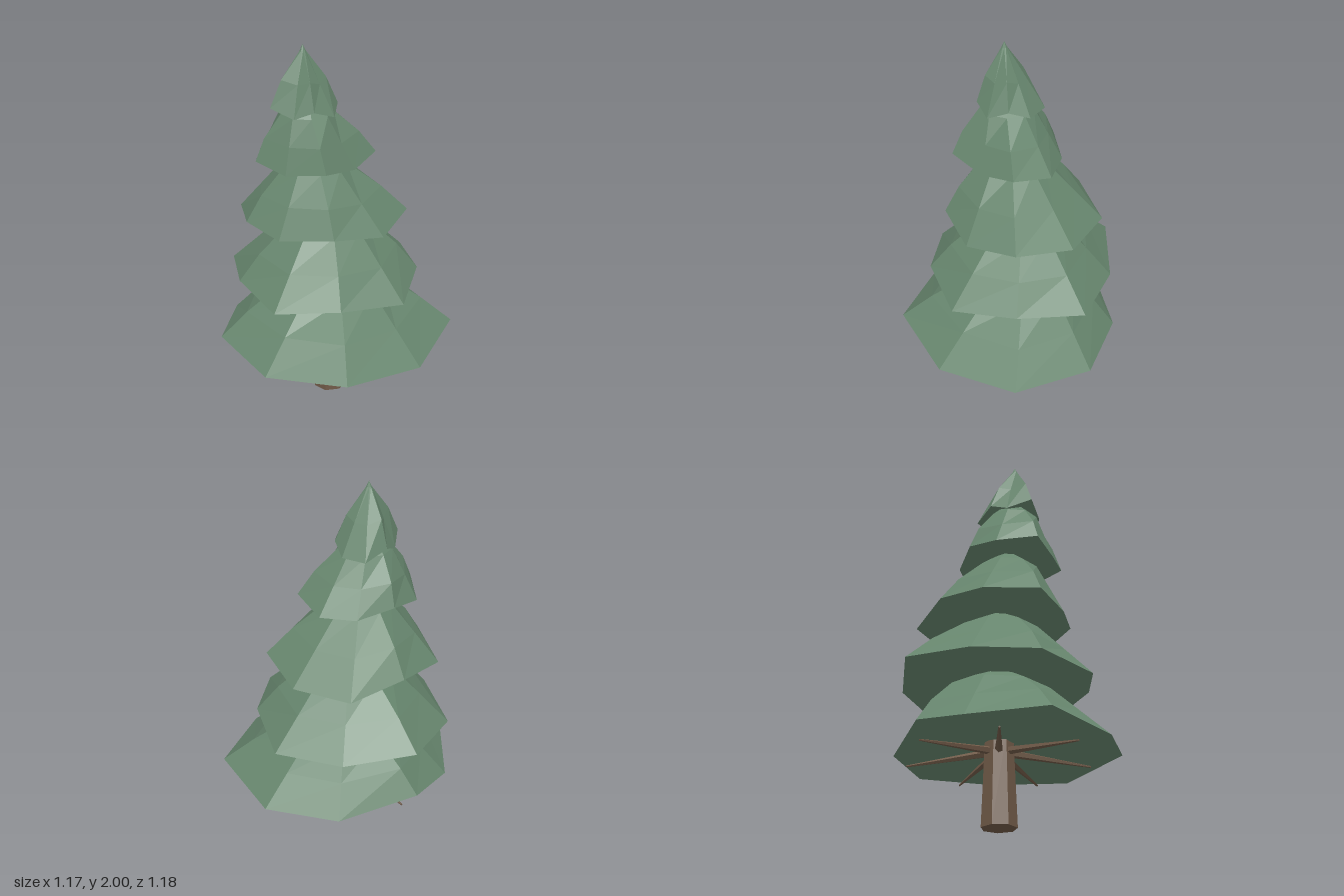
import * as THREE from 'three';

const green = new THREE.MeshStandardMaterial({ color: 0x66856d, flatShading: true });
green.name = 'needle green';
const brown = new THREE.MeshStandardMaterial({ color: 0x6f5947, flatShading: true });
brown.name = 'bark brown';

// Each tier: low rim height, height of the raised rim corners, rim corners as x, z pairs,
// then the narrow upper ring (centre x, y, z and radius) and the height of the closing tip.
const tiers = [
  { low: 0.38, high: 0.42, ring: [-0.01, 0.69, -0.03, 0.285], tip: 0.85,
    rim: [0.585, -0.05, 0.51, 0.385, 0.108, 0.59, -0.333, 0.545, -0.58, 0.183, -0.59, -0.225, -0.315, -0.51, -0.03, -0.56, 0.373, -0.387] },
  { low: 0.715, high: 0.75, ring: [-0.03, 1.03, -0.04, 0.22], tip: 1.16,
    rim: [0.51, -0.06, 0.355, 0.263, 0.08, 0.477, -0.257, 0.392, -0.5, 0.16, -0.487, -0.18, -0.332, -0.49, 0.03, -0.595, 0.335, -0.375] },
  { low: 1.06, high: 1.1, ring: [-0.1, 1.37, -0.04, 0.165], tip: 1.5,
    rim: [0.383, -0.067, 0.3, 0.228, 0.043, 0.35, -0.228, 0.298, -0.4, 0.07, -0.452, -0.143, -0.32, -0.408, -0.03, -0.436, 0.263, -0.355] },
  { low: 1.395, high: 1.43, ring: [-0.145, 1.66, -0.04, 0.135], tip: 1.8,
    rim: [0.197, -0.065, 0.156, 0.137, -0.027, 0.2, -0.23, 0.238, -0.345, 0.06, -0.405, -0.112, -0.275, -0.28, -0.09, -0.298, 0.087, -0.216] },
  { low: 1.66, high: 1.7, ring: [-0.162, 1.97, -0.04, 0.014], tip: 2,
    rim: [0.033, -0.055, -0.014, 0.043, -0.09, 0.118, -0.2, 0.102, -0.27, 0.033, -0.332, -0.08, -0.228, -0.162, -0.137, -0.194, -0.008, -0.175] },
];

const SIDES = 9;

function tierGeometry({ low, high, ring, tip, rim }) {
  const [cx, cy, cz, r] = ring;
  const lower = [], middle = [], upper = [];
  for (let i = 0; i < SIDES; i++) {
    const a = THREE.MathUtils.degToRad(i * 40 - 5);
    // every other rim corner is lifted
    const p = new THREE.Vector3(rim[2 * i], i % 2 ? high : low, rim[2 * i + 1]);
    const q = new THREE.Vector3(cx + r * Math.cos(a), cy, cz + r * Math.sin(a));
    const m = p.clone().lerp(q, 0.5);
    // lifted corners bulge slightly halfway up
    if (i % 2) m.add(new THREE.Vector3(m.x - cx, 0, m.z - cz).setLength(0.02));
    lower.push(p);
    middle.push(m);
    upper.push(q);
  }
  const top = new THREE.Vector3(cx, tip, cz);
  const under = new THREE.Vector3(cx, low + 0.055, cz);
  const tris = [];
  for (let i = 0; i < SIDES; i++) {
    const j = (i + 1) % SIDES;
    for (const [a, b] of [[lower, middle], [middle, upper]]) {
      tris.push(a[i], b[i], a[j], a[j], b[i], b[j]);
    }
    tris.push(upper[i], top, upper[j]);
    tris.push(lower[i], lower[j], under);
  }
  const geometry = new THREE.BufferGeometry().setFromPoints(tris);
  geometry.computeVertexNormals();
  return geometry;
}

export function createModel() {
  const tree = new THREE.Group();
  tree.name = 'tree';

  // Foliage tiers, leaning a little to one side as they rise
  tiers.forEach((tier, i) => {
    const mesh = new THREE.Mesh(tierGeometry(tier), green);
    mesh.name = `foliageTier${i + 1}`;
    tree.add(mesh);
  });

  // Tapered trunk
  const trunk = new THREE.Mesh(new THREE.CylinderGeometry(0.073, 0.092, 0.46, 7), brown);
  trunk.name = 'trunk';
  trunk.position.set(-0.017, 0.23, -0.025);
  tree.add(trunk);

  // Thin drooping branches under the lowest tier
  const up = new THREE.Vector3(0, 1, 0);
  for (let i = 0; i < 7; i++) {
    const a = THREE.MathUtils.degToRad(222 + (i * 360) / 7);
    const start = new THREE.Vector3(-0.017 + 0.04 * Math.cos(a), 0.385, -0.025 + 0.04 * Math.sin(a));
    const end = new THREE.Vector3(-0.01 + 0.48 * Math.cos(a), 0.348, -0.02 + 0.48 * Math.sin(a));
    const along = end.clone().sub(start);
    const branch = new THREE.Mesh(new THREE.CylinderGeometry(0.005, 0.022, along.length(), 5), brown);
    branch.name = `branch${i + 1}`;
    branch.position.copy(start).add(end).multiplyScalar(0.5);
    branch.quaternion.setFromUnitVectors(up, along.normalize());
    tree.add(branch);
  }
  return tree;
}
